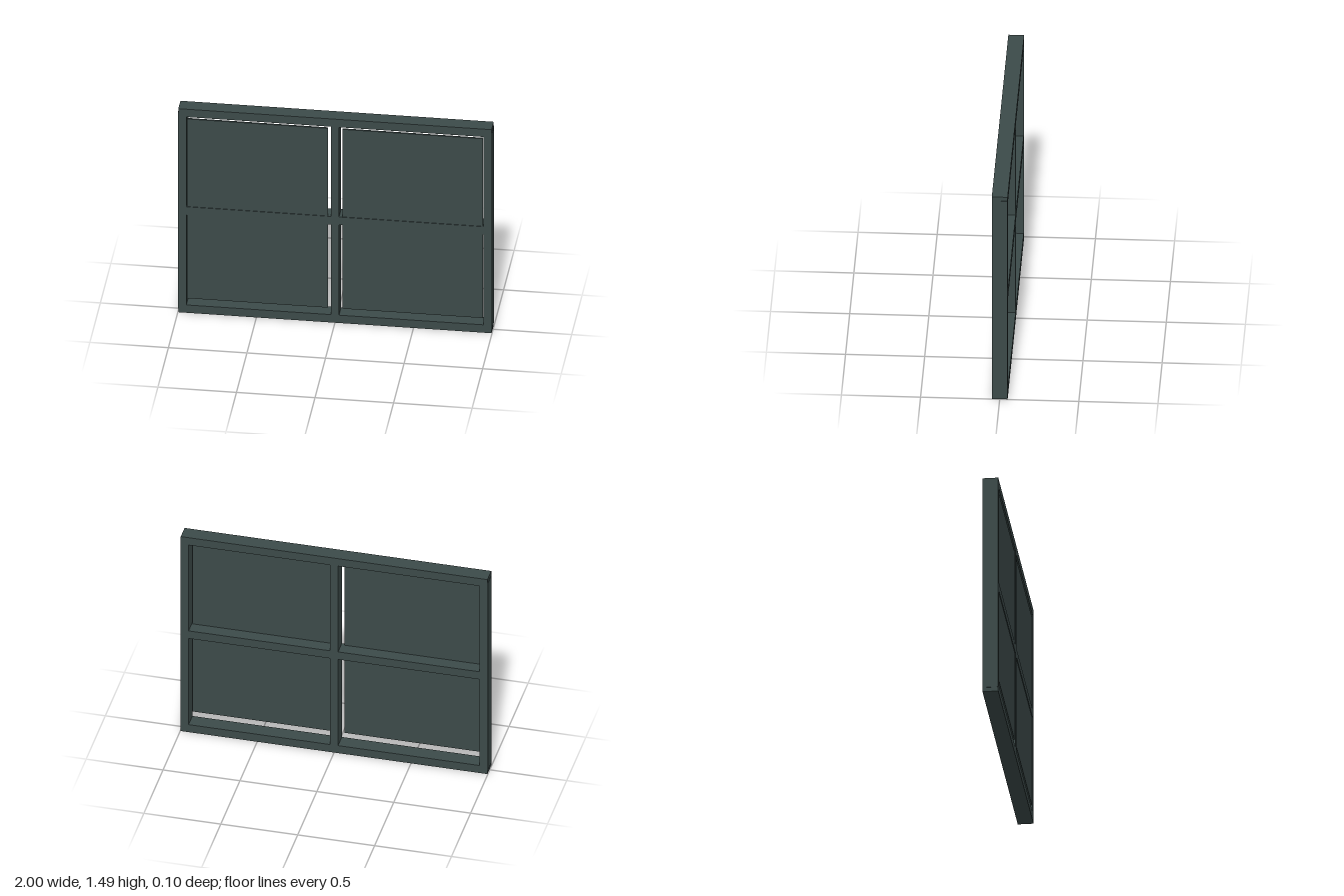
import * as THREE from 'three';

export function createModel() {
  const group = new THREE.Group();
  const slate = new THREE.MeshStandardMaterial({ color: 0x3c4a49 });
  slate.name = 'dark slate';

  // Box given by its limits on each axis
  function bar(name, [x0, x1], [y0, y1], [z0, z1] = [-0.05, 0.05]) {
    const mesh = new THREE.Mesh(new THREE.BoxGeometry(x1 - x0, y1 - y0, z1 - z0), slate);
    mesh.position.set((x0 + x1) / 2, (y0 + y1) / 2, (z0 + z1) / 2);
    mesh.name = name;
    group.add(mesh);
  }

  // Top and bottom rails, a hair shorter than the full width
  bar('bottomRail', [-0.997, 0.997], [0, 0.057]);
  bar('topRail', [-0.997, 0.997], [1.428, 1.485]);

  // Upright in the middle, from rail to rail
  bar('middlePost', [-0.026, 0.026], [0.057, 1.428]);

  for (const side of [-1, 1]) {
    const label = side > 0 ? 'left' : 'right';
    const span = (a, b) => (side > 0 ? [a, b] : [-b, -a]);
    // Outer posts end halfway into the rails
    bar(label + 'Post', span(0.946, 1), [0.028, 1.457]);
    // Cross bar behind and flush with the panel
    bar(label + 'CrossBar', span(0.026, 0.946), [0.715, 0.773]);
    // Thin panel set just behind the front face, with gaps around it
    bar(label + 'Panel', span(0.046, 0.941), [0.104, 1.412], [0.033, 0.046]);
  }

  return group;
}
